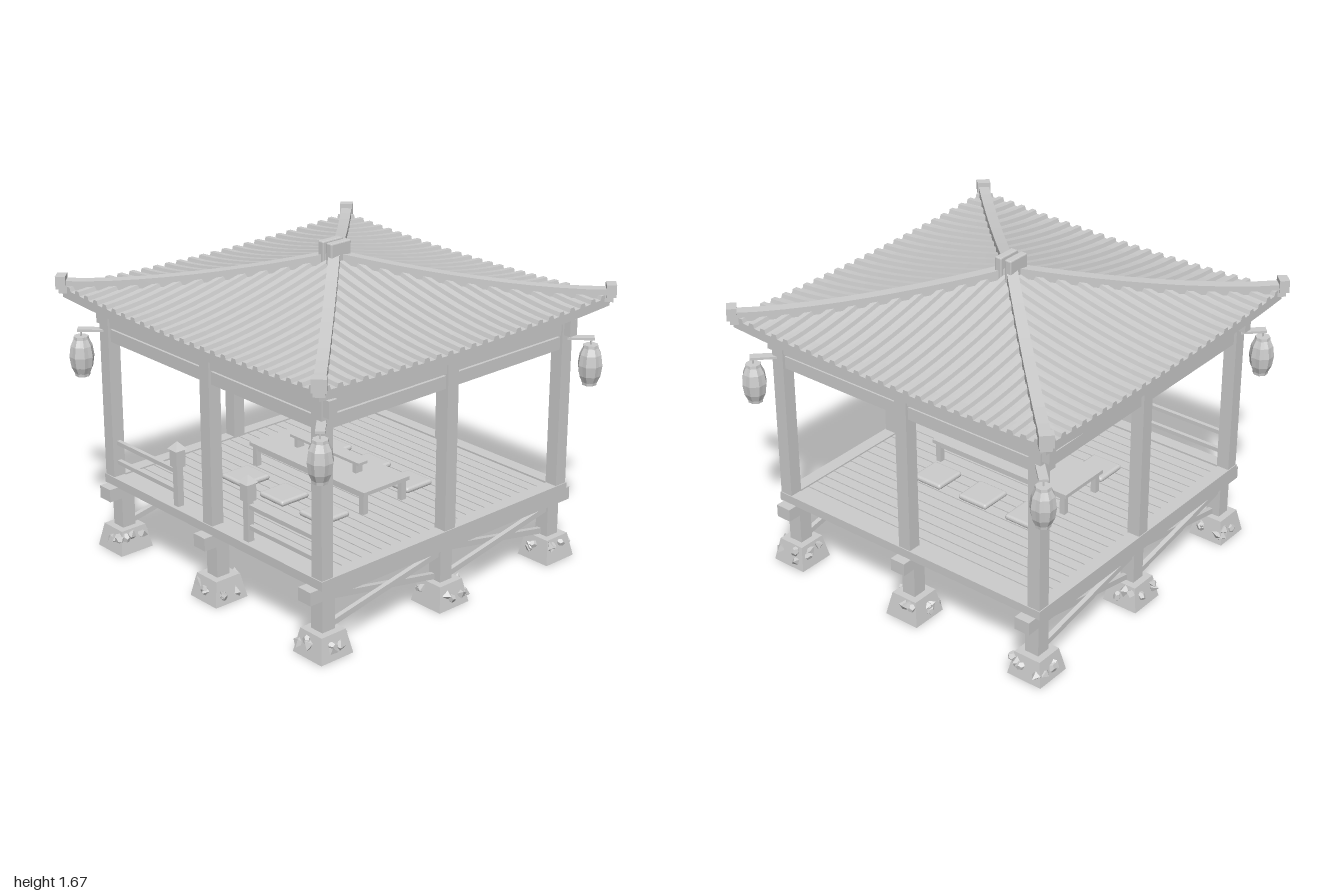
import * as THREE from 'three';
import { RoundedBoxGeometry } from 'three/addons/geometries/RoundedBoxGeometry.js';

const mat = new THREE.MeshStandardMaterial({ color: 0xcccccc, flatShading: true });
const R = 0.955; // half width of the roof at the eaves

function add(parent, name, geo, x = 0, y = 0, z = 0) {
  const m = new THREE.Mesh(geo, mat);
  m.name = name;
  m.position.set(x, y, z);
  parent.add(m);
  return m;
}
const box = (parent, name, w, h, d, x, y, z) =>
  add(parent, name, new THREE.BoxGeometry(w, h, d), x, y, z);

function group(parent, name) {
  const g = new THREE.Group();
  g.name = name;
  parent.add(g);
  return g;
}

// Skin closed rings of [x, y, z] (anticlockwise about the direction of travel), capped at both ends
function loft(rings) {
  const n = rings[0].length, pos = [], idx = [];
  for (const ring of rings) for (const p of ring) pos.push(...p);
  for (let k = 0; k < rings.length - 1; k++) {
    for (let i = 0; i < n; i++) {
      const a = k * n + i, b = k * n + (i + 1) % n;
      idx.push(a, b, b + n, a, b + n, a + n);
    }
  }
  const e = (rings.length - 1) * n;
  for (let i = 0; i < n / 2 - 1; i++) {
    const [a, b, c, d] = [i, i + 1, n - 2 - i, n - 1 - i];
    idx.push(a, c, b, a, d, c, e + a, e + b, e + c, e + a, e + c, e + d);
  }
  const g = new THREE.BufferGeometry();
  g.setAttribute('position', new THREE.Float32BufferAttribute(pos, 3));
  g.setIndex(idx);
  g.computeVertexNormals();
  return g;
}

// Height of the sagging roof: a = distance along the eave, d = distance from the centre
const roofY = (a, d) => 1.375 + 0.2 * Math.max(0, 1 - d / R) ** 1.5 + 0.03 * (a / R) ** 2;

function buildRoof(root) {
  const roof = group(root, 'roof');
  // Sloping slab for one side
  const slabRings = [];
  for (let k = 0; k <= 10; k++) {
    const d = Math.max(0.001, k / 10) * R, low = [], high = [];
    for (let i = 0; i <= 12; i++) {
      const x = (i / 6 - 1) * d;
      low.push([x, roofY(x, d) - 0.045, d]);
      high.unshift([x, roofY(x, d), d]);
    }
    slabRings.push([...low, ...high]);
  }
  const slab = loft(slabRings);
  // Tile ribs running down one side, shortened by the hips
  const ribs = [];
  for (let i = -12; i <= 12; i++) {
    const x = i * 0.0755, start = Math.max(0.03, Math.abs(x)), rings = [];
    for (let k = 0; k <= 7; k++) {
      const d = start + (R - start) * k / 7, y = roofY(x, d);
      rings.push([[x - 0.023, y - 0.01, d], [x + 0.023, y - 0.01, d],
        [x + 0.013, y + 0.02, d], [x - 0.013, y + 0.02, d]]);
    }
    ribs.push(loft(rings));
  }
  // Hip ridge
  const ridgeRings = [];
  for (let k = 0; k <= 10; k++) {
    const d = 0.02 + 0.945 * k / 10, y = roofY(d, d), z = d * Math.SQRT2;
    ridgeRings.push([[-0.028, y - 0.02, z], [0.028, y - 0.02, z], [0.028, y + 0.045, z], [-0.028, y + 0.045, z]]);
  }
  const ridge = loft(ridgeRings);
  for (let s = 0; s < 4; s++) {
    const side = group(roof, 'roofSide');
    side.rotation.y = s * Math.PI / 2;
    add(side, 'roofSlab', slab);
    ribs.forEach(g => add(side, 'tileRib', g));
    const hip = group(side, 'hip');
    hip.rotation.y = Math.PI / 4;
    add(hip, 'hipRidge', ridge);
    box(hip, 'hipEnd', 0.07, 0.065, 0.05, 0, 1.442, 1.354);
  }
  for (const s of [-1, 1]) add(roof, 'apexCap', new RoundedBoxGeometry(0.04, 0.12, 0.13, 1, 0.006), s * 0.03, 1.615, 0);
}

function buildFrame(root) {
  const frame = group(root, 'frame');
  for (const x of [-1, 0, 1]) for (const z of [-1, 0, 1]) {
    if (x || z) box(frame, 'column', 0.07, 0.91, 0.07, x * 0.795, 0.855, z * 0.795);
  }
  for (const s of [-1, 1]) {
    box(frame, 'topBeam', 1.74, 0.085, 0.05, 0, 1.258, s * 0.795);
    box(frame, 'topBeam', 0.05, 0.085, 1.64, s * 0.795, 1.258, 0);
    box(frame, 'lowerBeam', 1.58, 0.065, 0.04, 0, 1.172, s * 0.795);
    box(frame, 'lowerBeam', 0.04, 0.065, 1.58, s * 0.795, 1.172, 0);
  }
}

function buildBase(root) {
  const base = group(root, 'base');
  let seed = 7;
  const rand = () => (seed = (seed * 16807) % 2147483647) / 2147483647;
  // Tapered footing studded with sharp rocks
  const footing = new THREE.CylinderGeometry(0.075 * Math.SQRT2, 0.1 * Math.SQRT2, 0.125, 4);
  footing.rotateY(Math.PI / 4);
  const rockGeo = new THREE.DodecahedronGeometry(0.03);
  const spikeGeo = new THREE.OctahedronGeometry(0.036);
  for (const x of [-0.77, 0, 0.77]) {
    for (const z of [-0.77, 0, 0.77]) {
      box(base, 'post', 0.078, 0.2, 0.078, x, 0.2, z);
      add(base, 'footing', footing, x, 0.0625, z);
      for (let i = 0; i < 12; i++) {
        const side = (i % 4) * Math.PI / 2, off = (rand() - 0.5) * 0.15, y = 0.04 + rand() * 0.06;
        const c = Math.cos(side), s = Math.sin(side), out = 0.092 - y * 0.1;
        const rock = add(base, 'rock', i % 3 ? spikeGeo : rockGeo, x + c * out - s * off, y, z + s * out + c * off);
        rock.rotation.set(rand() * 3, rand() * 3, rand() * 3);
        rock.scale.set(1, 0.6 + rand() * 0.4, 0.7);
      }
    }
    box(base, 'floorBeam', 0.085, 0.068, 1.77, x, 0.327, 0);
    // Crossed braces under the two outer beams
    if (x) for (const z of [-0.385, 0.385]) for (const s of [-1, 1]) {
      const brace = box(base, 'brace', 0.025, 0.03, 0.71, x + s * 0.013, 0.21, z);
      brace.rotation.x = s * Math.atan2(0.13, 0.69);
    }
  }
  // Deck of boards inside a rim
  for (const s of [-1, 1]) {
    box(base, 'deckRim', 1.67, 0.047, 0.07, 0, 0.383, s * 0.8);
    box(base, 'deckRim', 0.07, 0.047, 1.53, s * 0.8, 0.383, 0);
  }
  const boards = 24, pitch = 1.53 / boards;
  for (let i = 0; i < boards; i++) {
    box(base, 'floorBoard', 1.53, 0.035, pitch - 0.006, 0, 0.381, (i + 0.5) * pitch - 0.765);
  }
}

function buildLanterns(root) {
  const profile = [[0, 0.945], [0.038, 0.945], [0.04, 0.96], [0.056, 0.995], [0.064, 1.05],
    [0.056, 1.105], [0.04, 1.14], [0.038, 1.155], [0, 1.155]].map(p => new THREE.Vector2(...p));
  const body = new THREE.LatheGeometry(profile, 16);
  // Pinch alternate sides to form lobes
  const p = body.attributes.position;
  for (let i = 0; i < p.count; i++) {
    const lobe = Math.floor(i / profile.length) % 2 ? 1 : 0.9;
    p.setXYZ(i, p.getX(i) * lobe, p.getY(i), p.getZ(i) * lobe);
  }
  for (let s = 0; s < 4; s++) {
    const corner = group(root, 'hangingLantern');
    corner.rotation.y = Math.PI / 4 + s * Math.PI / 2;
    const r = 0.898 * Math.SQRT2;
    box(corner, 'lanternArm', 0.045, 0.012, 0.2, 0, 1.19, r - 0.085);
    add(corner, 'lanternCord', new THREE.CylinderGeometry(0.005, 0.005, 0.045, 6), 0, 1.172, r);
    add(corner, 'lanternBody', body, 0, 0, r);
  }
}

function buildRailing(root) {
  const rail = group(root, 'frontRailing');
  for (const s of [-1, 1]) {
    for (const y of [0.483, 0.59]) box(rail, 'railBar', 0.5, 0.022, 0.022, s * 0.52, y, 0.795);
    box(rail, 'railPost', 0.036, 0.22, 0.036, s * 0.27, 0.51, 0.795);
    box(rail, 'postLamp', 0.055, 0.095, 0.055, s * 0.27, 0.665, 0.795);
    const cap = new THREE.ConeGeometry(0.05, 0.04, 4);
    cap.rotateY(Math.PI / 4);
    add(rail, 'postLampCap', cap, s * 0.27, 0.73, 0.795);
  }
}

function buildFurniture(root) {
  const set = group(root, 'furniture');
  // Low table with a small raised shelf on it
  box(set, 'tableTop', 0.87, 0.02, 0.31, 0, 0.516, 0.045);
  for (const s of [-1, 1]) {
    box(set, 'tableApron', 0.8, 0.022, 0.02, 0, 0.496, 0.045 + s * 0.13);
    for (const t of [-1, 1]) box(set, 'tableLeg', 0.03, 0.11, 0.03, s * 0.405, 0.455, 0.045 + t * 0.13);
    box(set, 'shelfLeg', 0.025, 0.05, 0.045, s * 0.22, 0.55, 0.045);
  }
  box(set, 'shelfTop', 0.52, 0.014, 0.06, 0, 0.583, 0.045);
  // Floor cushions
  const cushion = new RoundedBoxGeometry(0.18, 0.03, 0.18, 2, 0.014);
  for (const x of [-0.3, 0, 0.3]) for (const z of [-0.23, 0.34]) add(set, 'cushion', cushion, x, 0.416, z);
}

export function createModel() {
  const root = new THREE.Group();
  root.name = 'pavilion';
  [buildBase, buildFrame, buildRoof, buildLanterns, buildRailing, buildFurniture].forEach(build => build(root));
  return root;
}
